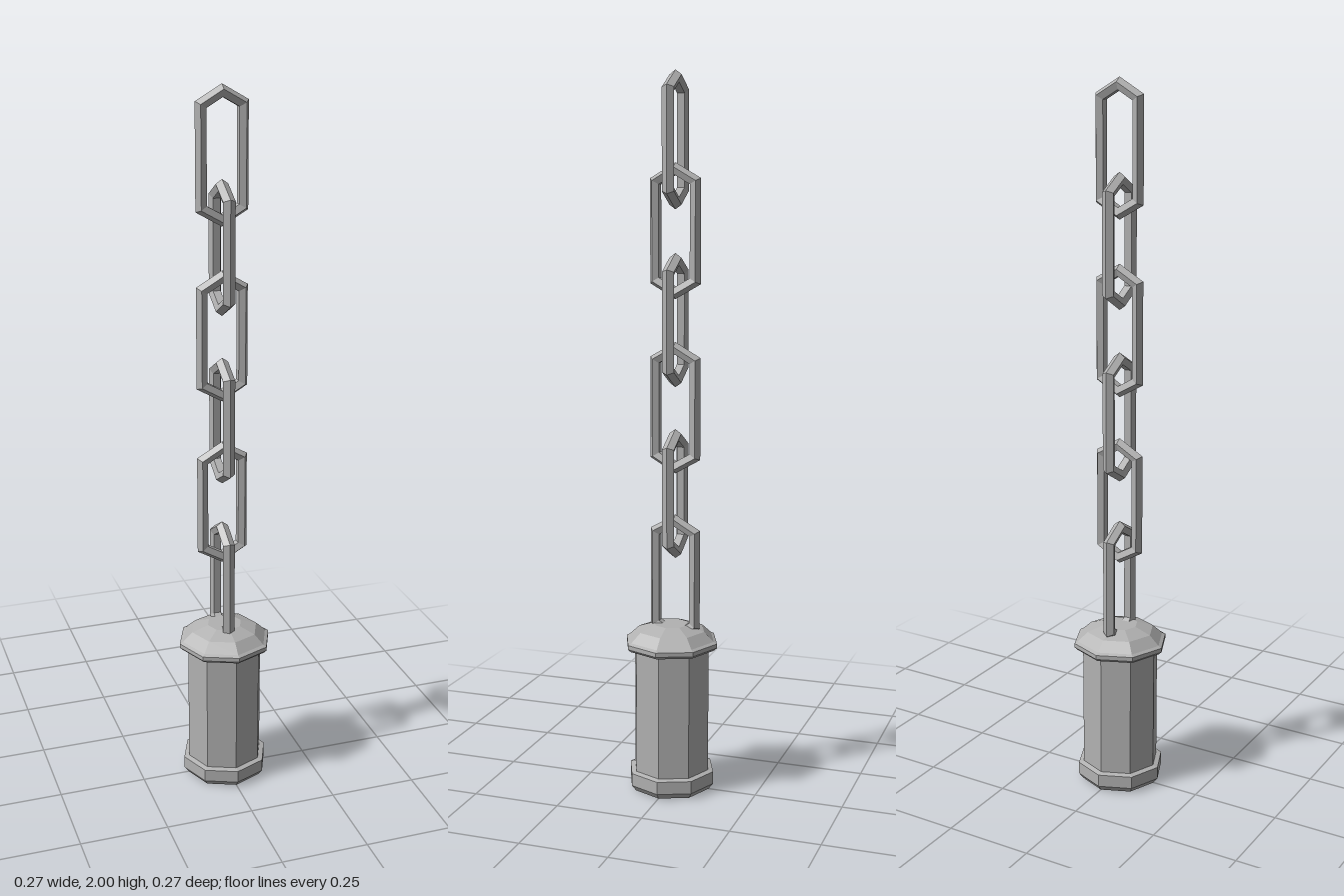
import * as THREE from 'three';

const metal = new THREE.MeshStandardMaterial({ color: 0xb2b2b2 });
metal.name = 'greyMetal';

// Give every facet its own normal for a low-poly look
function facet(geometry) {
  const g = geometry.toNonIndexed();
  g.computeVertexNormals();
  return g;
}

// Eight-sided turned part; profile runs from bottom to top as [radius, y]
function turned(name, profile) {
  const points = profile.map(([r, y]) => new THREE.Vector2(r, y));
  const mesh = new THREE.Mesh(facet(new THREE.LatheGeometry(points, 8)), metal);
  mesh.name = name;
  return mesh;
}

// Six-cornered ring with a pentagonal section, its halves pulled apart vertically
function linkGeometry(ring, tube, stretch) {
  const g = new THREE.TorusGeometry(ring, tube, 5, 6);
  g.rotateZ(Math.PI / 6);
  const p = g.attributes.position;
  for (let i = 0; i < p.count; i++) {
    p.setY(i, p.getY(i) + Math.sign(p.getY(i)) * stretch);
  }
  return facet(g);
}

export function createModel() {
  const model = new THREE.Group();
  model.name = 'chainWithWeight';

  // Weight: base ring, body and domed cap
  const weight = new THREE.Group();
  weight.name = 'weight';
  weight.add(
    turned('baseRing', [[0, 0], [0.112, 0], [0.125, 0.017], [0.125, 0.053], [0.11, 0.057]]),
    turned('body', [[0.11, 0.05], [0.11, 0.415]]),
    turned('cap', [
      [0.108, 0.41], [0.127, 0.412], [0.135, 0.42], [0.135, 0.432],
      [0.125, 0.437], [0.097, 0.463], [0.05, 0.479], [0, 0.479],
    ]),
  );
  model.add(weight);

  // Chain: six interlocked links, every other one turned a quarter
  const chain = new THREE.Group();
  chain.name = 'chain';
  chain.position.set(-0.0035, 0, -0.01);
  const link = linkGeometry(0.0657, 0.018, 0.0993);
  for (let i = 0; i < 6; i++) {
    const mesh = new THREE.Mesh(link, metal);
    mesh.name = `link${i + 1}`;
    mesh.position.y = 1.817 - i * 0.2413;
    mesh.rotation.y = i % 2 ? Math.PI / 2 : 0;
    chain.add(mesh);
  }
  model.add(chain);

  return model;
}
